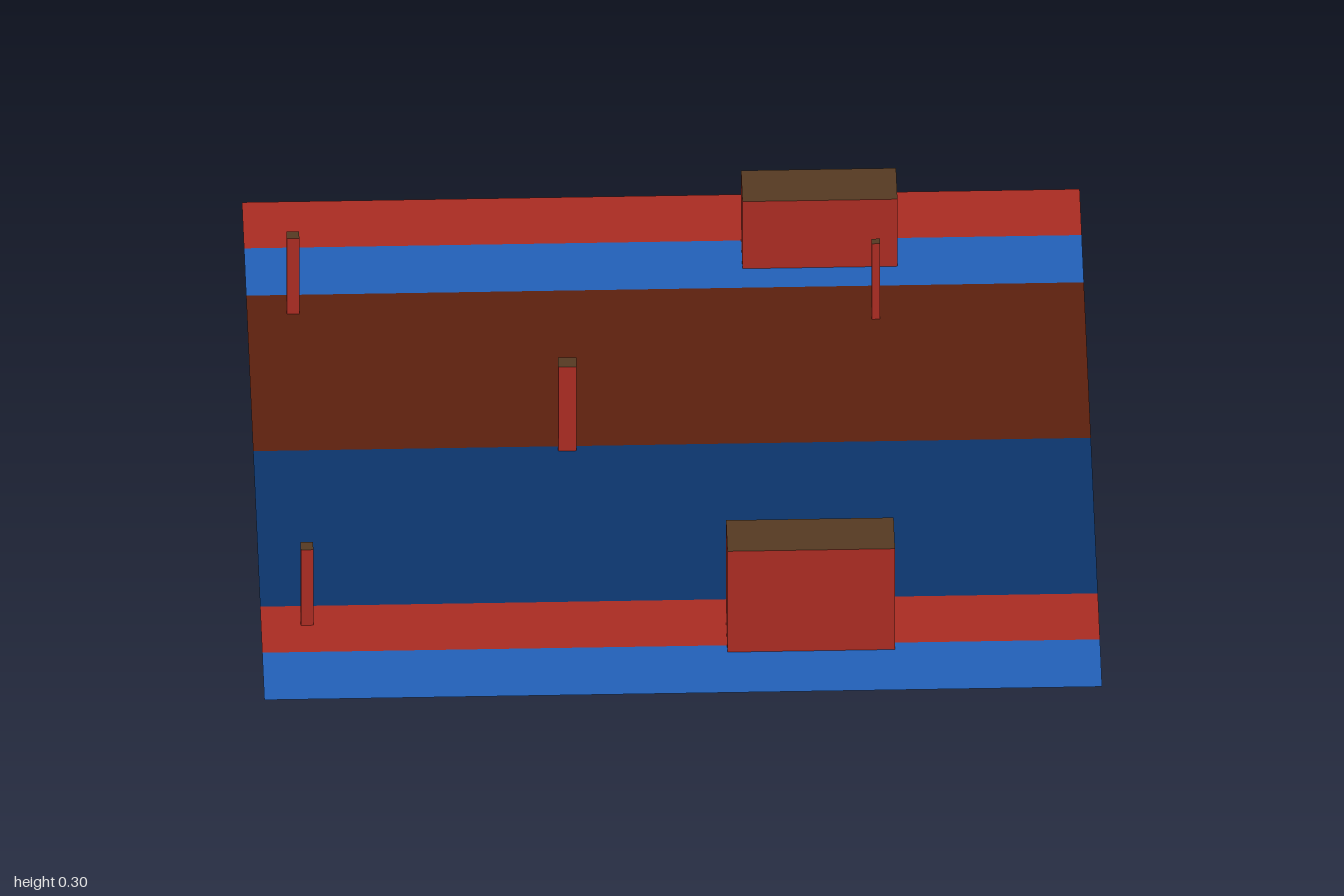
import * as THREE from 'three';

export function createModel() {
  const model = new THREE.Group();
  const paint = (name, color, side = THREE.FrontSide) => {
    const m = new THREE.MeshStandardMaterial({ color, side });
    m.name = name;
    return m;
  };
  const red = paint('red', 0xaa2c22, THREE.DoubleSide);
  const blue = paint('blue', 0x2260b8, THREE.DoubleSide);
  const brown = paint('dark brown', 0x5c200e, THREE.DoubleSide);
  const navy = paint('navy', 0x0b346b, THREE.DoubleSide);
  const olive = paint('olive brown', 0x553a22);

  // Flat ground made of coloured strips running along x
  const strips = [
    ['backRedStrip', -1, -0.815, red],
    ['backBlueStrip', -0.815, -0.625, blue],
    ['brownField', -0.625, 0, brown],
    ['navyField', 0, 0.625, navy],
    ['frontRedStrip', 0.625, 0.81, red],
    ['frontBlueStrip', 0.81, 1, blue],
  ];
  for (const [name, z0, z1, material] of strips) {
    const geometry = new THREE.PlaneGeometry(2, z1 - z0).rotateX(-Math.PI / 2);
    const strip = new THREE.Mesh(geometry, material);
    strip.name = name;
    strip.position.set(0, 0.001, (z0 + z1) / 2);
    model.add(strip);
  }

  // Blocks and posts: red sides, olive top and underside
  const faces = [red, red, olive, olive, red, red];
  const blocks = [
    // name, x, z, width, depth, height
    ['frontBlock', 0.31, 0.775, 0.4, 0.125, 0.3],
    ['backBlock', 0.372, -0.764, 0.37, 0.125, 0.2],
    ['centrePost', -0.25, 0, 0.044, 0.038, 0.25],
    ['backRightPost', -0.89, -0.562, 0.03, 0.028, 0.225],
    ['frontRightPost', -0.89, 0.687, 0.03, 0.032, 0.225],
    ['backLeftPost', 0.5, -0.5, 0.02, 0.02, 0.225],
    ['frontLeftPost', 0.5, 0.626, 0.02, 0.02, 0.225],
  ];
  for (const [name, x, z, w, d, h] of blocks) {
    const block = new THREE.Mesh(new THREE.BoxGeometry(w, h, d), faces);
    block.name = name;
    block.position.set(x, h / 2, z);
    model.add(block);
  }
  return model;
}
